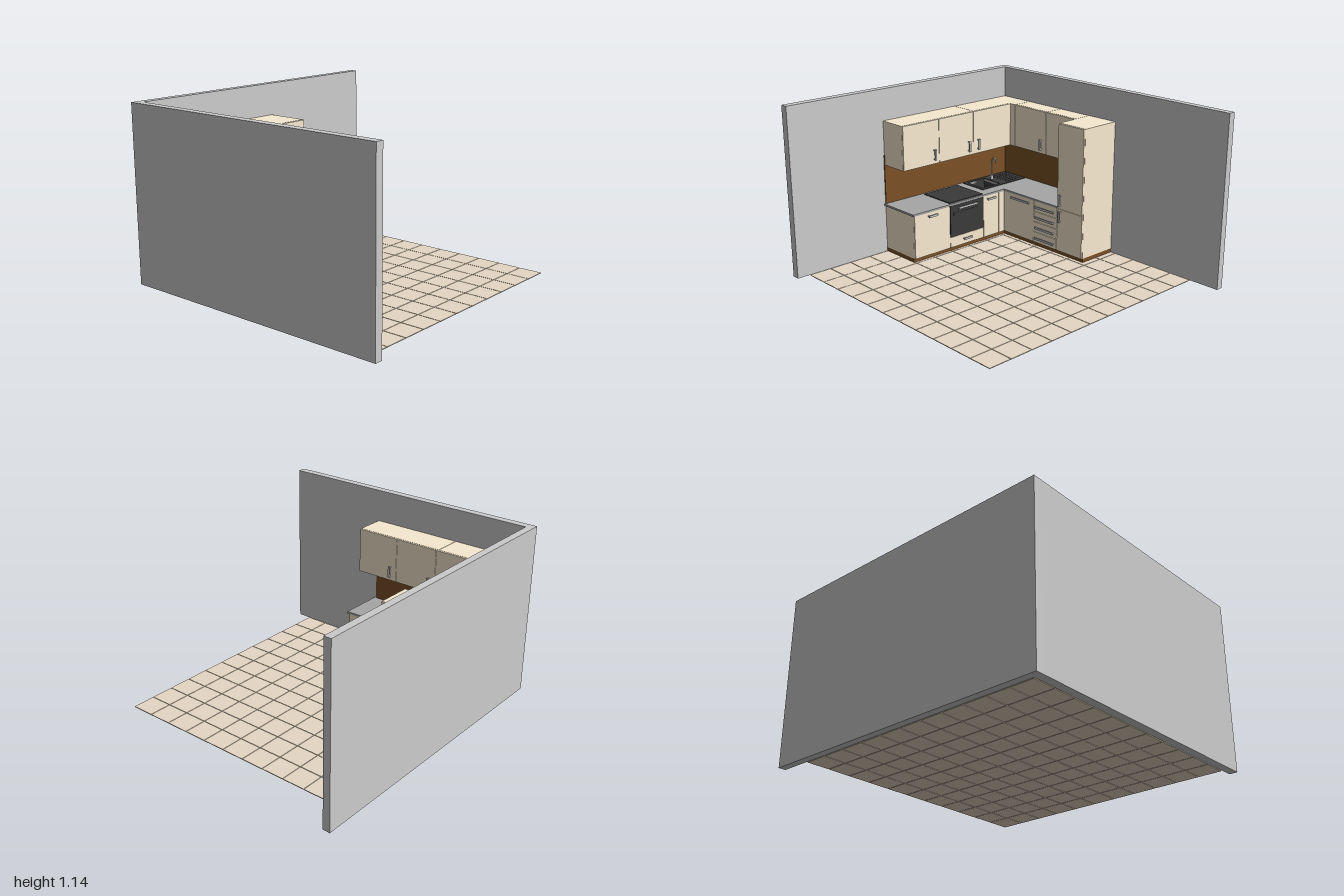
import * as THREE from 'three';

const mat = (color) => new THREE.MeshStandardMaterial({ color });

export function createModel() {
  const root = new THREE.Group();
  root.name = 'cornerKitchen';
  const grey = mat(0xcccccc), cream = mat(0xf8ead0), brown = mat(0x7b5026);
  const stone = mat(0xa6a6a6), dark = mat(0x3a3a3a), tile = mat(0xe6d7c3);

  const group = (name) => {
    const g = new THREE.Group();
    g.name = name;
    root.add(g);
    return g;
  };
  // Box given by its limits on each axis
  const box = (parent, name, m, x0, x1, y0, y1, z0, z1) => {
    const mesh = new THREE.Mesh(new THREE.BoxGeometry(x1 - x0, y1 - y0, z1 - z0), m);
    mesh.position.set((x0 + x1) / 2, (y0 + y1) / 2, (z0 + z1) / 2);
    mesh.name = name;
    parent.add(mesh);
    return mesh;
  };

  // Walls
  const walls = group('walls');
  box(walls, 'backWall', grey, -1, 1, 0.005, 1.14, -0.935, -0.887);
  box(walls, 'leftWall', grey, -1, -0.947, 0.005, 1.14, -0.887, 0.935);

  // Floor tiles with narrow joints
  const floor = group('floor');
  const n = 11, pitch = 1.735 / n, joint = 0.002;
  for (let i = 0; i < n; i++) {
    for (let j = 0; j < n; j++) {
      const x = -0.947 + i * pitch, z = -0.89 + j * pitch;
      box(floor, 'floorTile', tile, x + joint, x + pitch - joint, 0, 0.005, z + joint, z + pitch - joint);
    }
  }

  // Bar handle on two posts; "side" handles stand on the left run and face +x
  const handles = group('handles');
  const handle = (facing, along, y, face, length, vertical) => {
    const g = new THREE.Group();
    g.name = 'handle';
    const w = vertical ? 0.014 : length, h = vertical ? length : 0.014;
    box(g, 'handleBar', grey, -w / 2, w / 2, -h / 2, h / 2, 0.014, 0.021);
    for (const s of [-1, 1]) {
      const d = s * (length / 2 - 0.007);
      const px = vertical ? 0 : d, py = vertical ? d : 0;
      box(g, 'handlePost', grey, px - 0.004, px + 0.004, py - 0.004, py + 0.004, 0, 0.015);
    }
    if (facing === 'side') {
      g.rotation.y = Math.PI / 2;
      g.position.set(face, y, along);
    } else g.position.set(along, y, face);
    handles.add(g);
  };

  const gap = 0.0015, t = 0.012;
  // Door panel whose outer surface lies at "face"
  const door = (parent, facing, name, m, a0, a1, y0, y1, face) => {
    if (facing === 'side') box(parent, name, m, face - t, face, y0 + gap, y1 - gap, a0 + gap, a1 - gap);
    else box(parent, name, m, a0 + gap, a1 - gap, y0 + gap, y1 - gap, face - t, face);
  };

  // Plinths
  const plinth = group('plinth');
  box(plinth, 'leftPlinth', brown, -0.947, -0.652, 0.005, 0.032, -0.887, 0.22);
  box(plinth, 'backPlinth', brown, -0.652, 0.118, 0.005, 0.032, -0.887, -0.603);

  // Left base units, lower under the sink
  const base = group('baseCabinets');
  const bx = -0.635, bz = -0.587;
  box(base, 'leftCarcass', cream, -0.947, bx - t, 0.032, 0.336, -0.39, 0.22);
  box(base, 'sinkCarcass', cream, -0.947, bx - t, 0.032, 0.24, -0.887, -0.39);
  door(base, 'side', 'leftDoor', cream, -0.085, 0.22, 0.032, 0.336, bx);
  door(base, 'side', 'ovenDrawer', cream, -0.39, -0.085, 0.032, 0.108, bx);
  door(base, 'side', 'sinkDoor', cream, -0.535, -0.39, 0.032, 0.336, bx);
  door(base, 'side', 'cornerFiller', cream, -0.59, -0.535, 0.032, 0.336, bx);
  handle('side', 0.07, 0.31, bx, 0.075, false);
  handle('side', -0.235, 0.075, bx, 0.075, false);
  handle('side', -0.457, 0.312, bx, 0.075, false);

  // Oven
  const oven = group('oven');
  box(oven, 'ovenFront', dark, bx - t, bx + 0.003, 0.11, 0.334, -0.388, -0.087);
  box(oven, 'ovenWindow', dark, bx, bx + 0.005, 0.135, 0.28, -0.36, -0.115);
  handle('side', -0.235, 0.312, bx + 0.002, 0.17, false);

  // Back base units
  box(base, 'backCarcass', cream, bx - t, -0.113, 0.032, 0.336, -0.887, bz - t);
  door(base, 'front', 'backDoor', cream, bx, -0.335, 0.032, 0.336, bz);
  handle('front', -0.462, 0.31, bz, 0.18, false);
  const levels = [0.032, 0.109, 0.184, 0.26, 0.336];
  for (let i = 0; i < 4; i++) {
    door(base, 'front', 'drawerFront', cream, -0.335, -0.113, levels[i], levels[i + 1], bz);
    handle('front', -0.222, levels[i] + 0.038, bz, 0.175, false);
  }

  // Tall cabinet
  const tall = group('tallCabinet');
  box(tall, 'tallCarcass', cream, -0.111, 0.118, 0.032, 0.926, -0.887, bz - t);
  door(tall, 'front', 'tallLowerDoor', cream, -0.111, 0.118, 0.032, 0.336, bz);
  door(tall, 'front', 'tallUpperDoor', cream, -0.111, 0.118, 0.336, 0.926, bz);
  handle('front', -0.08, 0.283, bz, 0.08, true);
  handle('front', -0.08, 0.4, bz, 0.08, true);

  // Worktops; the left one has a cut-out for the basin
  const tops = group('worktop');
  const rect = (P, x0, x1, z0, z1) => {
    const p = new P();
    p.moveTo(x0, -z0).lineTo(x0, -z1).lineTo(x1, -z1).lineTo(x1, -z0).closePath();
    return p;
  };
  const basin = [-0.905, -0.74, -0.64, -0.48];
  const slab = (parent, name, m, y, h, x0, x1, z0, z1) => {
    const s = rect(THREE.Shape, x0, x1, z0, z1);
    s.holes.push(rect(THREE.Path, ...basin));
    const mesh = new THREE.Mesh(new THREE.ExtrudeGeometry(s, { depth: h, bevelEnabled: false }), m);
    mesh.rotation.x = -Math.PI / 2;
    mesh.position.y = y;
    mesh.name = name;
    parent.add(mesh);
  };
  slab(tops, 'leftWorktop', stone, 0.336, 0.014, -0.947, -0.63, -0.887, 0.232);
  box(tops, 'backWorktop', stone, -0.63, -0.112, 0.336, 0.35, -0.887, -0.583);

  // Sink plate, basin and drainer ribs
  const sink = group('sink');
  slab(sink, 'sinkPlate', dark, 0.35, 0.005, -0.93, -0.715, -0.87, -0.455);
  const [sx0, sx1, sz0, sz1] = basin, w = 0.004;
  box(sink, 'basinFloor', dark, sx0 - w, sx1 + w, 0.26, 0.265, sz0 - w, sz1 + w);
  box(sink, 'basinSide', dark, sx0 - w, sx0, 0.265, 0.352, sz0, sz1);
  box(sink, 'basinSide', dark, sx1, sx1 + w, 0.265, 0.352, sz0, sz1);
  box(sink, 'basinEnd', dark, sx0, sx1, 0.265, 0.352, sz0 - w, sz0);
  box(sink, 'basinEnd', dark, sx0, sx1, 0.265, 0.352, sz1, sz1 + w);
  for (let i = 0; i < 6; i++) {
    const x = -0.9 + i * 0.03;
    box(sink, 'drainerRib', dark, x, x + 0.008, 0.354, 0.357, -0.85, -0.71);
  }

  // Swan-neck tap
  const tap = group('tap');
  const v = (x, y) => new THREE.Vector3(x, y, -0.67);
  const neck = new THREE.CatmullRomCurve3([
    v(-0.855, 0.355), v(-0.855, 0.42), v(-0.853, 0.48), v(-0.843, 0.512),
    v(-0.827, 0.519), v(-0.812, 0.511), v(-0.806, 0.485),
  ]);
  const spout = new THREE.Mesh(new THREE.TubeGeometry(neck, 32, 0.006, 12), grey);
  spout.name = 'tapSpout';
  const foot = new THREE.Mesh(new THREE.CylinderGeometry(0.01, 0.012, 0.03, 20), grey);
  foot.position.set(-0.855, 0.37, -0.67);
  foot.name = 'tapFoot';
  tap.add(spout, foot);
  box(tap, 'tapLever', grey, -0.859, -0.851, 0.374, 0.381, -0.665, -0.635);

  // Hob
  box(group('hob'), 'hobGlass', dark, -0.915, -0.645, 0.35, 0.356, -0.39, -0.09);

  // Splashbacks
  const splash = group('splashback');
  box(splash, 'leftSplashback', brown, -0.947, -0.94, 0.35, 0.69, -0.887, 0.222);
  box(splash, 'backSplashback', brown, -0.94, -0.112, 0.35, 0.69, -0.887, -0.88);

  // Wall cabinets
  const upper = group('wallCabinets');
  const ux = -0.735, uz = -0.742, y0 = 0.622, y1 = 0.926;
  box(upper, 'leftCabinet', cream, -0.945, ux - t, y0, y1, -0.398, 0.218);
  box(upper, 'cornerCabinet', cream, -0.945, ux - t, y0, y1, -0.885, -0.401);
  box(upper, 'cornerFiller', cream, ux - t, -0.687, y0, y1, -0.885, uz);
  const sideEdges = [0.218, -0.085, -0.39, uz], sideHandles = [-0.04, -0.345, -0.43];
  sideHandles.forEach((z, i) => {
    door(upper, 'side', 'leftCabinetDoor', cream, sideEdges[i + 1], sideEdges[i], y0, y1, ux);
    handle('side', z, 0.688, ux, 0.075, true);
  });
  for (const [x0, x1, hx] of [[-0.684, -0.38, -0.42], [-0.377, -0.113, -0.15]]) {
    box(upper, 'backCabinet', cream, x0, x1, y0, y1, -0.885, uz - t);
    door(upper, 'front', 'backCabinetDoor', cream, x0, x1, y0, y1, uz);
    handle('front', hx, 0.688, uz, 0.075, true);
  }

  return root;
}
